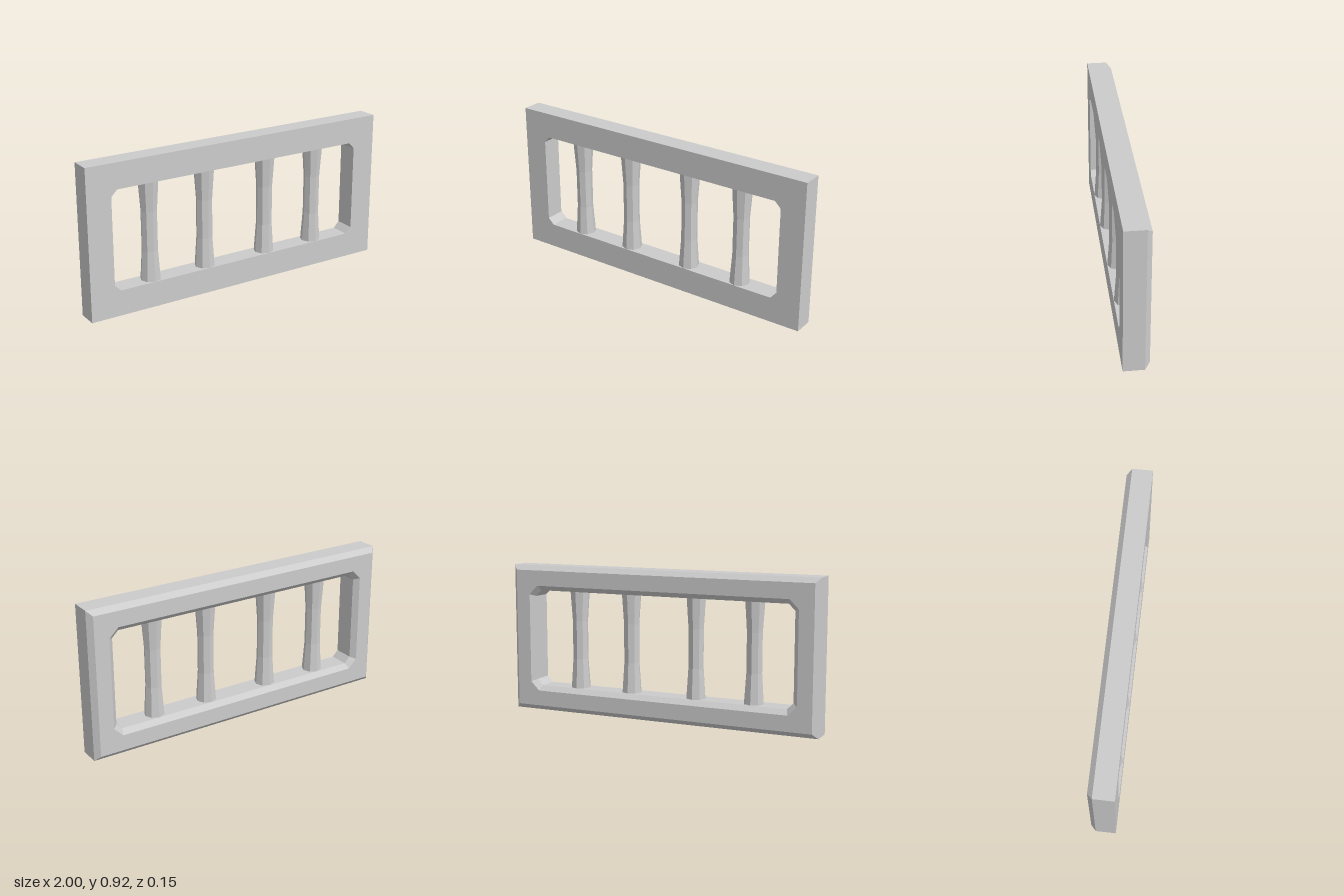
import * as THREE from 'three';
import { mergeGeometries } from 'three/addons/utils/BufferGeometryUtils.js';

const HALF_W = 1, HALF_H = 0.4585;
const FRONT = 0.077, STEP = -0.047, BACK = -0.077, BEVEL = 0.03;

// Counter-clockwise rectangle with cut corners (cut = 0 gives a plain rectangle)
function outline(w, h, cut) {
  const corners = cut
    ? [[-w + cut, -h], [w - cut, -h], [w, -h + cut], [w, h - cut],
       [w - cut, h], [-w + cut, h], [-w, h - cut], [-w, -h + cut]]
    : [[-w, -h], [w, -h], [w, h], [-w, h]];
  return corners.map(([x, y]) => new THREE.Vector2(x, y));
}

// Strip of quads joining a front loop to a back loop
function wall(front, zf, back, zb) {
  const pos = [];
  front.forEach((a, i) => {
    const j = (i + 1) % front.length;
    const af = [a.x, a.y, zf], bf = [front[j].x, front[j].y, zf];
    const ab = [back[i].x, back[i].y, zb], bb = [back[j].x, back[j].y, zb];
    pos.push(...af, ...ab, ...bb, ...af, ...bb, ...bf);
  });
  const g = new THREE.BufferGeometry();
  g.setAttribute('position', new THREE.Float32BufferAttribute(pos, 3));
  return g;
}

// Flat frame face with the opening cut out
function face(outer, inner) {
  const shape = new THREE.Shape(outer);
  shape.holes.push(new THREE.Path(inner));
  const g = new THREE.ShapeGeometry(shape).toNonIndexed();
  g.deleteAttribute('uv');
  g.deleteAttribute('normal');
  return g;
}

function frameGeometry() {
  const outer = outline(HALF_W, HALF_H, 0);
  const outerBack = outline(HALF_W - BEVEL, HALF_H - BEVEL, 0);
  const cut = 0.038;
  const hole = outline(0.849, 0.303, cut);
  const holeBack = outline(0.849 + BEVEL, 0.303 + BEVEL, cut + BEVEL * 0.586);
  const rev = (pts) => [...pts].reverse();
  const g = mergeGeometries([
    face(outer, hole).translate(0, 0, FRONT),
    face(outerBack, holeBack).rotateY(Math.PI).translate(0, 0, BACK),
    wall(outer, FRONT, outer, STEP),
    wall(outer, STEP, outerBack, BACK),
    wall(rev(hole), FRONT, rev(hole), STEP),
    wall(rev(hole), STEP, rev(holeBack), BACK),
  ]);
  g.computeVertexNormals();
  return g;
}

export function createModel() {
  const group = new THREE.Group();
  const material = new THREE.MeshStandardMaterial({ color: 0xcccccc, flatShading: true });

  // Window frame, bevelled around its back edges
  const frame = new THREE.Mesh(frameGeometry(), material);
  frame.name = 'frame';
  frame.position.y = HALF_H;
  group.add(frame);

  // Eight-sided bars, flared at both ends
  const profile = [[0.0615, -0.304], [0.049, -0.12], [0.049, 0.12], [0.0615, 0.304]]
    .map(([r, y]) => new THREE.Vector2(r, y));
  const barGeometry = new THREE.LatheGeometry(profile, 8);
  [-0.587, -0.218, 0.21, 0.568].forEach((x, i) => {
    const bar = new THREE.Mesh(barGeometry, material);
    bar.name = `bar${i + 1}`;
    bar.position.set(x, HALF_H, (FRONT + STEP) / 2);
    group.add(bar);
  });

  return group;
}
